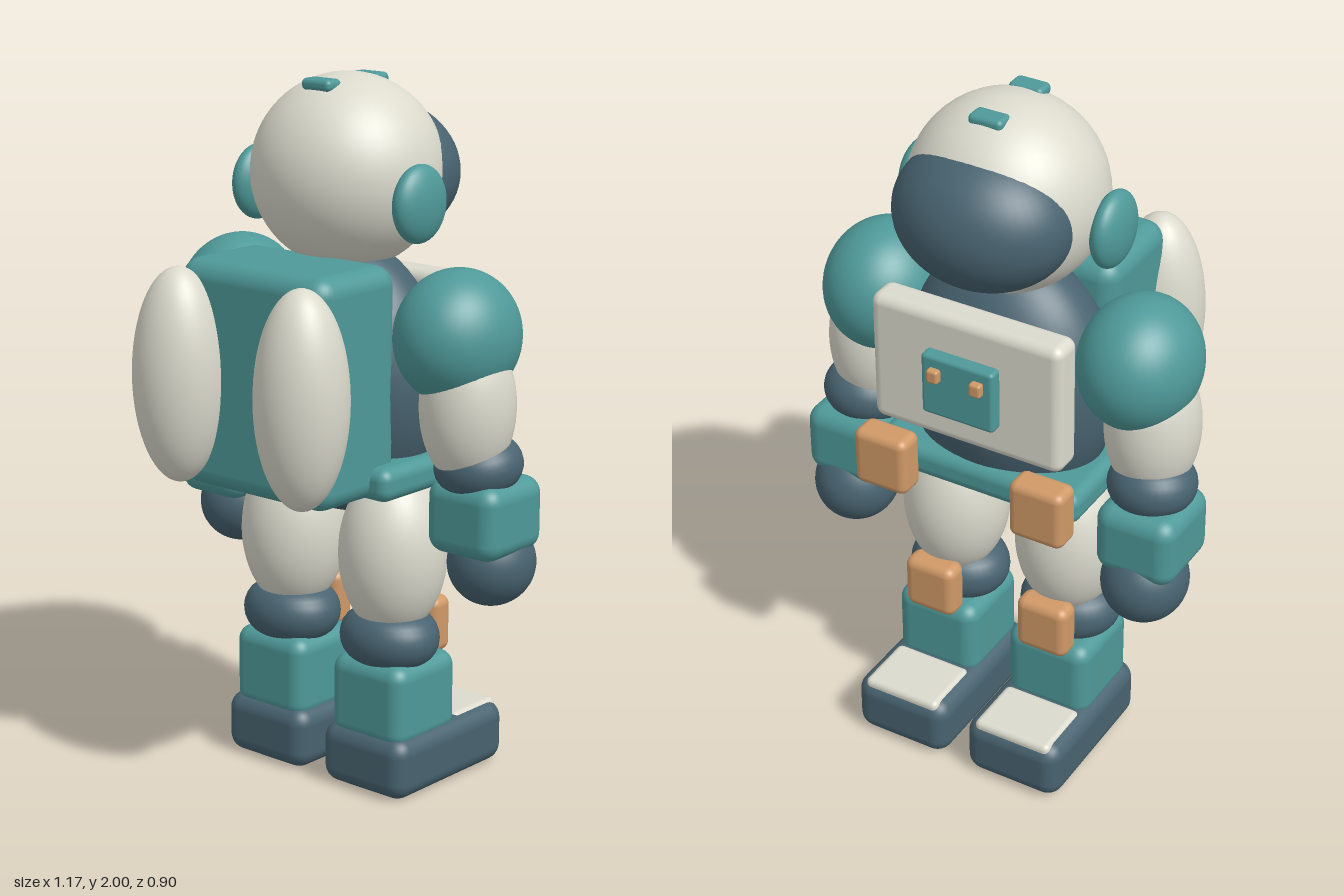
import * as THREE from 'three';
import { RoundedBoxGeometry } from 'three/addons/geometries/RoundedBoxGeometry.js';

const paint = (name, color) => {
  const m = new THREE.MeshStandardMaterial({ color });
  m.name = name;
  return m;
};

export function createModel() {
  const white = paint('suit white', 0xdbdacd);
  const teal = paint('teal', 0x4f9999);
  const slate = paint('slate', 0x486370);
  const orange = paint('orange', 0xd09967);

  const root = new THREE.Group();
  root.name = 'astronaut';

  const add = (parent, name, geometry, material, pos) => {
    const mesh = new THREE.Mesh(geometry, material);
    mesh.name = name;
    mesh.position.set(...pos);
    parent.add(mesh);
    return mesh;
  };
  // Ellipsoid given by its centre and radii
  const ball = (parent, name, material, pos, radii) =>
    add(parent, name, new THREE.SphereGeometry(1, 48, 32).scale(...radii), material, pos);
  // Rounded box given by its centre and size
  const box = (parent, name, material, pos, size, radius) =>
    add(parent, name, new RoundedBoxGeometry(...size, 4, radius), material, pos);
  // Padded ring: a disc with a rounded rim
  const pad = (parent, name, material, pos, rx, rz, height, round) => {
    const points = [new THREE.Vector2(0, -height / 2)];
    for (let i = 0; i <= 12; i++) {
      const a = -Math.PI / 2 + (i / 12) * Math.PI;
      points.push(new THREE.Vector2(1 - (round / rx) * (1 - Math.cos(a)), Math.sin(a) * height / 2));
    }
    points.push(new THREE.Vector2(0, height / 2));
    return add(parent, name, new THREE.LatheGeometry(points, 40).scale(rx, 1, rz), material, pos);
  };

  // Helmet with visor and crown tabs
  const head = new THREE.Group();
  head.name = 'head';
  root.add(head);
  ball(head, 'helmet', white, [0, 1.73, -0.12], [0.27, 0.27, 0.265]);
  ball(head, 'visor', slate, [0, 1.72, -0.24], [0.25, 0.2, 0.208]);
  for (const z of [-0.01, -0.21]) box(head, 'crownTab', teal, [0, 1.975, z], [0.1, 0.033, 0.06], 0.014);

  // Torso, belt and backpack
  const body = new THREE.Group();
  body.name = 'body';
  root.add(body);
  ball(body, 'torso', slate, [0, 1.16, -0.11], [0.31, 0.39, 0.22]);
  box(body, 'belt', teal, [0, 0.928, -0.115], [0.64, 0.095, 0.42], 0.035);
  box(body, 'backpack', teal, [0, 1.198, 0.13], [0.53, 0.635, 0.32], 0.055);

  // Chest unit with control plate
  box(body, 'chestUnit', white, [0, 1.255, -0.305], [0.58, 0.39, 0.1], 0.03);
  box(body, 'controlPlate', teal, [0, 1.25, -0.37], [0.22, 0.185, 0.045], 0.012);

  for (const s of [1, -1]) {
    const side = s > 0 ? 'left' : 'right';
    ball(head, side + 'EarCap', teal, [s * 0.288, 1.675, -0.077], [0.047, 0.107, 0.1]);
    ball(body, side + 'AirTank', white, [s * 0.222, 1.2, 0.322], [0.13, 0.3, 0.127]);
    box(body, side + 'Button', orange, [s * 0.065, 1.29, -0.395], [0.035, 0.04, 0.035], 0.008);
    box(body, side + 'BeltPouch', orange, [s * 0.243, 0.948, -0.365], [0.165, 0.175, 0.09], 0.025);

    // Arm, from shoulder to hand
    const arm = new THREE.Group();
    arm.name = side + 'Arm';
    root.add(arm);
    ball(arm, 'shoulder', teal, [s * 0.395, 1.325, -0.113], [0.165, 0.185, 0.19]);
    ball(arm, 'upperArm', white, [s * 0.435, 1.14, -0.11], [0.13, 0.22, 0.135]);
    const elbow = pad(arm, 'elbow', slate, [s * 0.453, 0.973, -0.138], 0.123, 0.123, 0.14, 0.065);
    elbow.rotation.set(0.13, 0, s * 0.08);
    box(arm, 'forearm', teal, [s * 0.463, 0.835, -0.155], [0.237, 0.21, 0.25], 0.05);
    ball(arm, 'hand', slate, [s * 0.465, 0.69, -0.188], [0.12, 0.122, 0.128]);

    // Leg, from thigh to boot
    const leg = new THREE.Group();
    leg.name = side + 'Leg';
    root.add(leg);
    ball(leg, 'thigh', white, [s * 0.183, 0.68, -0.105], [0.152, 0.24, 0.155]);
    pad(leg, 'knee', slate, [s * 0.183, 0.437, -0.093], 0.148, 0.13, 0.148, 0.07);
    box(leg, 'kneePad', orange, [s * 0.183, 0.448, -0.235], [0.16, 0.165, 0.08], 0.028);
    box(leg, 'shin', teal, [s * 0.183, 0.265, -0.112], [0.258, 0.24, 0.268], 0.045);
    box(leg, 'boot', slate, [s * 0.183, 0.09, -0.203], [0.3, 0.18, 0.485], 0.05);
    box(leg, 'toeCap', white, [s * 0.183, 0.165, -0.34], [0.24, 0.04, 0.19], 0.018);
  }
  return root;
}
